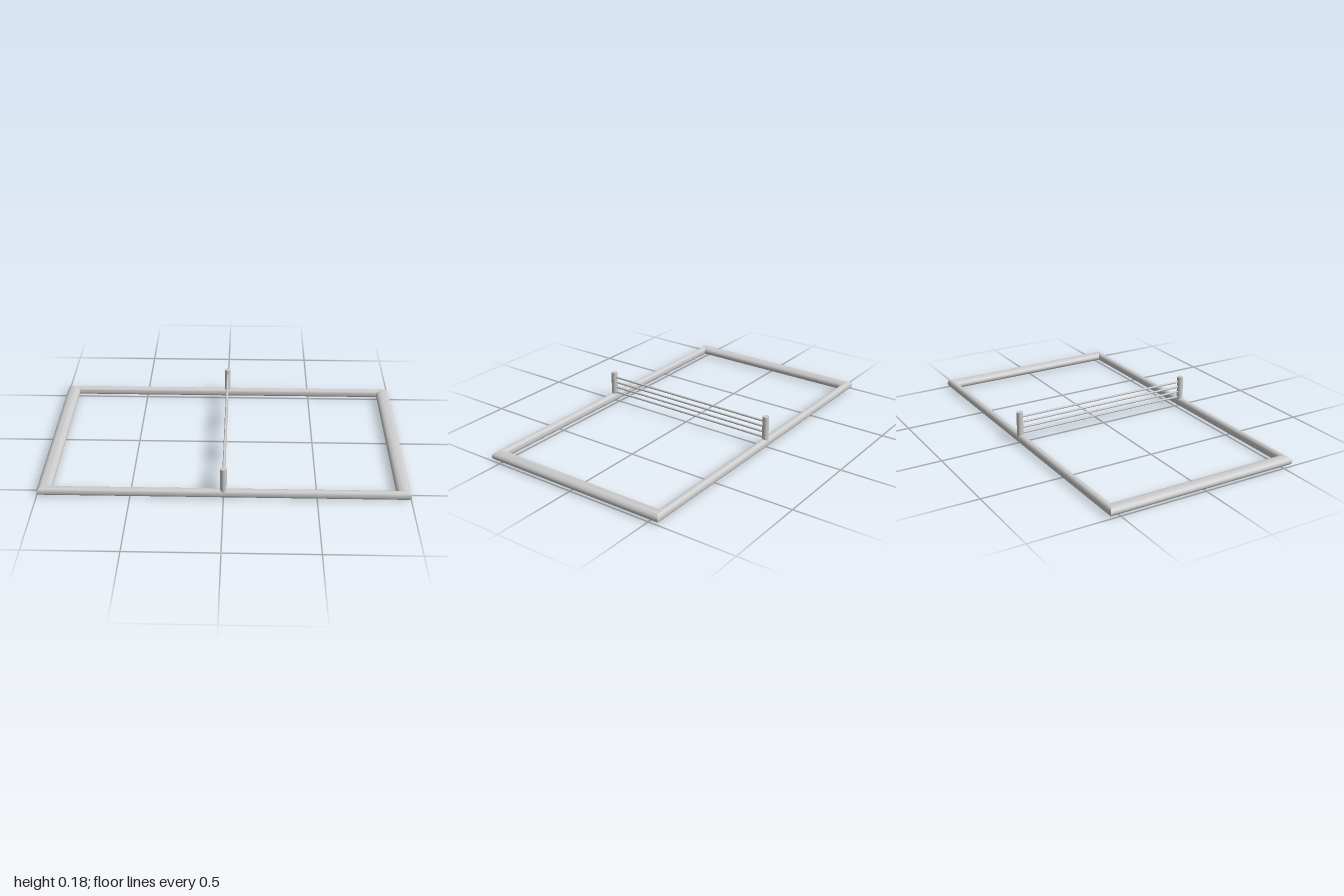
import * as THREE from 'three';
import { toCreasedNormals } from 'three/addons/utils/BufferGeometryUtils.js';

export function createModel() {
  const group = new THREE.Group();
  const material = new THREE.MeshStandardMaterial({ color: 0xcccccc });

  const add = (name, geometry, x, y, z) => {
    const mesh = new THREE.Mesh(geometry, material);
    mesh.name = name;
    mesh.position.set(x, y, z);
    group.add(mesh);
    return mesh;
  };

  // Court border: a four-sided ring with mitred corners, flattened and stretched to a rectangle
  const tube = 0.0385 * Math.SQRT2;
  const ring = new THREE.TorusGeometry(Math.SQRT2 - tube, tube, 32, 4);
  ring.rotateZ(Math.PI / 4);
  ring.rotateX(Math.PI / 2);
  ring.scale(1, 0.025 / tube, 0.555);
  add('courtBorder', toCreasedNormals(ring, 0.5), 0, 0.025, 0);

  // Net posts on the middle of the long sides
  const postZ = 0.534;
  for (const side of [1, -1]) {
    add(side > 0 ? 'frontPost' : 'backPost',
      new THREE.CylinderGeometry(0.018, 0.018, 0.142, 24), 0, 0.111, side * postZ);
  }

  // Net cords strung between the posts
  for (let i = 0; i < 4; i++) {
    const cord = new THREE.CylinderGeometry(0.006, 0.006, postZ * 2, 12);
    cord.rotateX(Math.PI / 2);
    add('netCord' + (i + 1), cord, 0, 0.056 + i * 0.032, 0);
  }

  return group;
}
